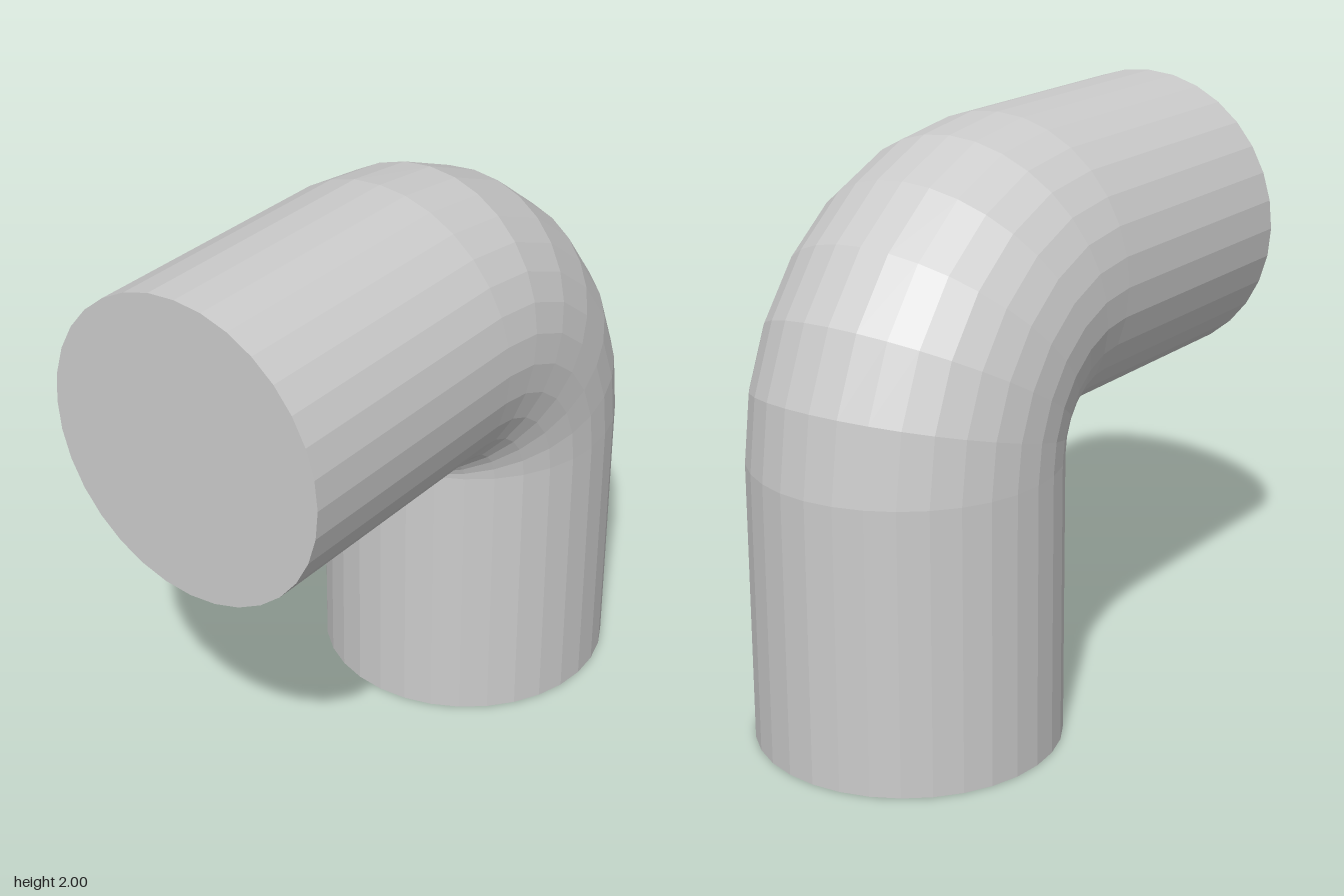
import * as THREE from 'three';

const RADIUS = 0.516;                  // pipe radius
const BEND = 0.519;                    // radius of the elbow's centre line
const CX = -0.035, CY = 0.966;         // centre of the bend
const STEPS = 6;                       // segments in the 90 degree bend

// Bends a capped cylinder: first row is the lower end, last row the
// side end, and the rows between them sweep through the elbow.
function elbowGeometry() {
  const rows = STEPS + 2;
  const geometry = new THREE.CylinderGeometry(RADIUS, RADIUS, rows, 32, rows);
  geometry.translate(0, rows / 2, 0);
  const pos = geometry.attributes.position;
  for (let i = 0; i < pos.count; i++) {
    const row = Math.round(pos.getY(i));
    const t = THREE.MathUtils.clamp((row - 1) / STEPS, 0, 1);
    const angle = t * Math.PI / 2;
    const reach = BEND + pos.getX(i);
    let x = CX + reach * Math.cos(angle);
    let y = CY + reach * Math.sin(angle);
    if (row === 0) { y = 0; x -= 0.004; } // lower opening, very slight lean
    if (row === rows) x = -1;             // side opening
    pos.setXY(i, x, Math.min(y, 2));
  }
  const flat = geometry.toNonIndexed();
  flat.computeVertexNormals();
  return flat;
}

export function createModel() {
  const group = new THREE.Group();
  group.name = 'pipeElbow';
  const material = new THREE.MeshStandardMaterial({ color: 0xcccccc, flatShading: true });
  const pipe = new THREE.Mesh(elbowGeometry(), material);
  pipe.name = 'bentPipe';
  group.add(pipe);
  return group;
}
